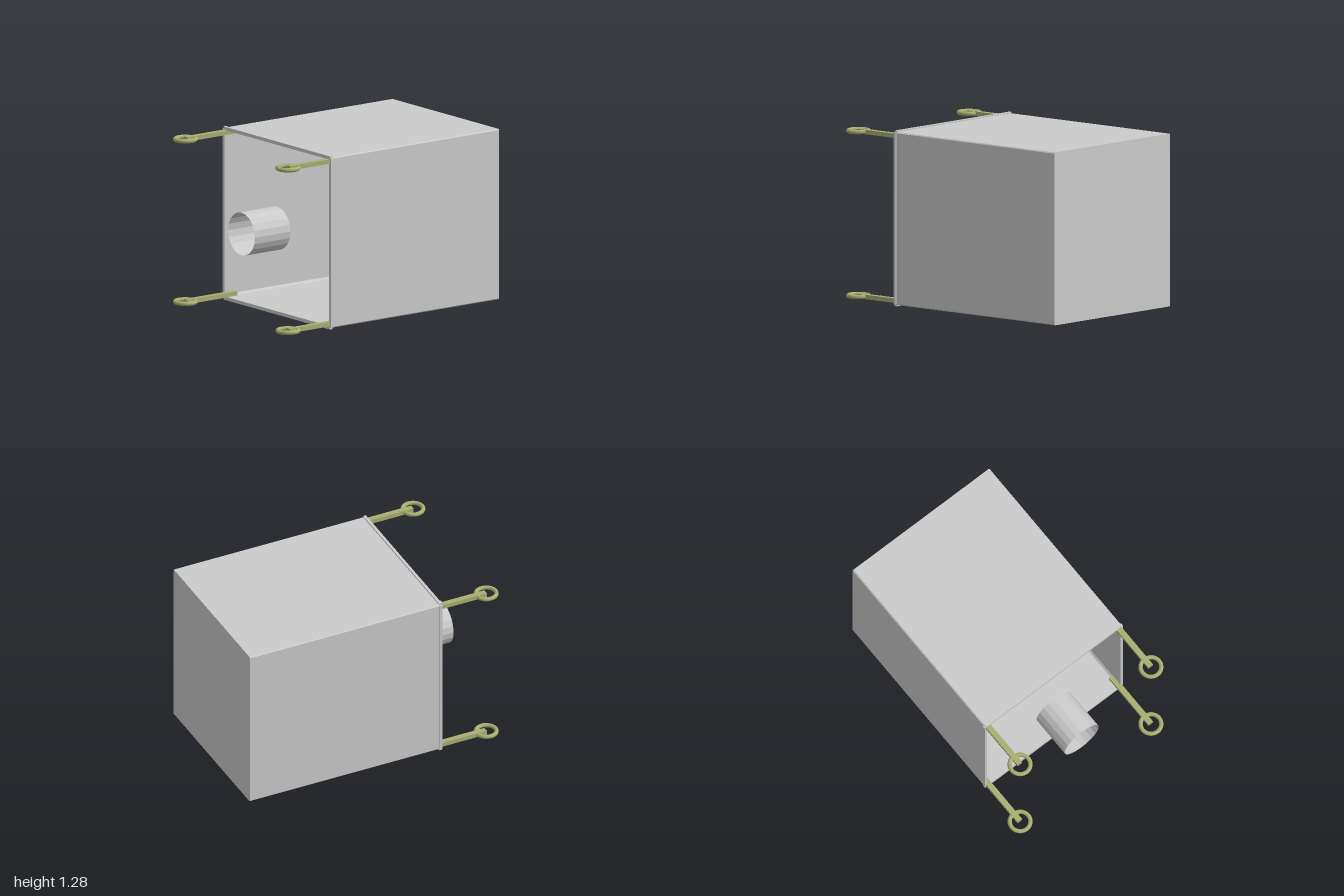
import * as THREE from 'three';

const CY = 0.64;
const FRONT = 0.54;
const BACK = -1;

// Rectangle outline with small bevelled corners, centred on the origin
function bevelledRect(path, hw, hh, c) {
  path.moveTo(-hw + c, -hh);
  path.lineTo(hw - c, -hh);
  path.lineTo(hw, -hh + c);
  path.lineTo(hw, hh - c);
  path.lineTo(hw - c, hh);
  path.lineTo(-hw + c, hh);
  path.lineTo(-hw, hh - c);
  path.lineTo(-hw, -hh + c);
  path.closePath();
  return path;
}

export function createModel() {
  const group = new THREE.Group();
  const grey = new THREE.MeshStandardMaterial({ color: 0xcccccc, flatShading: true });
  const greyThin = new THREE.MeshStandardMaterial({ color: 0xcccccc, flatShading: true, side: THREE.DoubleSide });
  const olive = new THREE.MeshStandardMaterial({ color: 0xa9af72 });

  const add = (name, geometry, material, x, y, z, parent = group) => {
    const mesh = new THREE.Mesh(geometry, material);
    mesh.name = name;
    mesh.position.set(x, y, z);
    parent.add(mesh);
    return mesh;
  };

  // Four thin walls, open at the front
  const wallShape = bevelledRect(new THREE.Shape(), 0.63, 0.63, 0.008);
  wallShape.holes.push(bevelledRect(new THREE.Path(), 0.615, 0.615, 0.015));
  const walls = new THREE.ExtrudeGeometry(wallShape, { depth: FRONT - BACK, bevelEnabled: false });
  add('walls', walls, grey, 0, CY, BACK);

  // Closed back
  const panel = new THREE.ExtrudeGeometry(bevelledRect(new THREE.Shape(), 0.63, 0.63, 0.008), { depth: 0.015, bevelEnabled: false });
  add('backPanel', panel, grey, 0, CY, BACK);

  // Raised strips round the front opening
  for (const s of [-1, 1]) {
    add(s > 0 ? 'topTrim' : 'bottomTrim', new THREE.BoxGeometry(1.25, 0.025, 0.022), grey, 0, CY + s * 0.6275, FRONT - 0.008);
    add(s > 0 ? 'leftTrim' : 'rightTrim', new THREE.BoxGeometry(0.022, 1.25, 0.022), grey, s * 0.625, CY, FRONT - 0.008);
  }

  // Open pipe in the middle of the front
  const pipe = new THREE.CylinderGeometry(0.158, 0.158, 0.325, 20, 1, true).rotateX(Math.PI / 2);
  add('frontPipe', pipe, greyThin, 0, CY, 0.7025);

  // A rod with a flat-lying ring at each front corner
  const rod = new THREE.BoxGeometry(0.042, 0.032, 0.455);
  const ring = new THREE.TorusGeometry(0.075, 0.016, 10, 32).rotateX(Math.PI / 2);
  for (const sx of [-1, 1]) {
    for (const sy of [-1, 1]) {
      const hook = new THREE.Group();
      hook.name = (sy > 0 ? 'upper' : 'lower') + (sx > 0 ? 'Left' : 'Right') + 'Hook';
      hook.position.set(sx * 0.602, CY + sy * 0.601, 0);
      add('rod', rod, olive, 0, 0, 0.6775, hook);
      add('ring', ring, olive, 0, 0, 0.909, hook);
      group.add(hook);
    }
  }
  return group;
}
